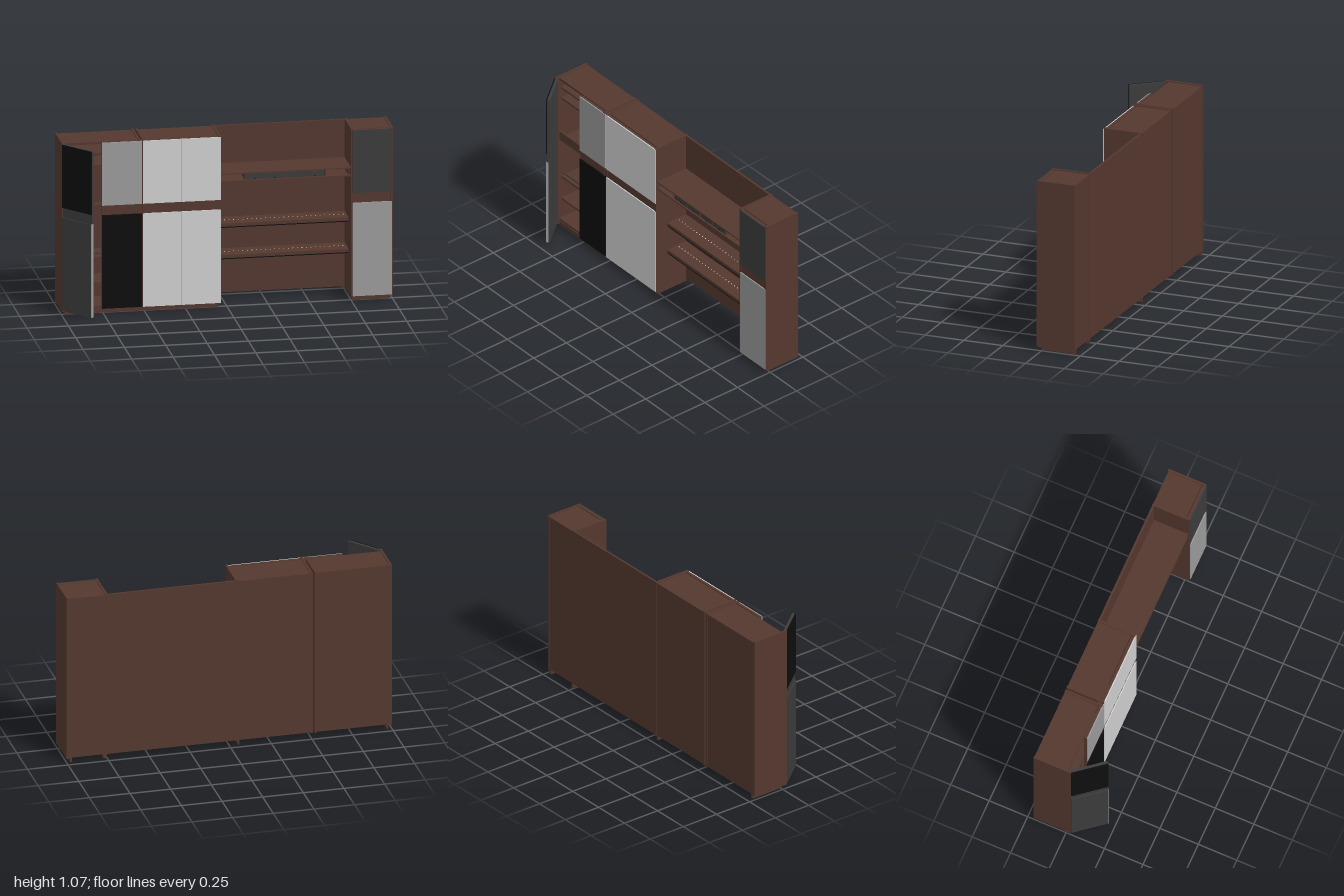
import * as THREE from 'three';

const mat = (name, color) => {
  const m = new THREE.MeshStandardMaterial({ color });
  m.name = name;
  return m;
};

export function createModel() {
  const brown = mat('brown wood', 0x54382f);
  const light = mat('light grey lacquer', 0xd0d0d0);
  const grey = mat('mid grey lacquer', 0x9b9b9b);
  const dark = mat('dark grey lacquer', 0x3c3c3c);
  const black = mat('black lacquer', 0x0e0e0e);
  const white = mat('white light', 0xf4f4f4);

  const model = new THREE.Group();
  model.name = 'wallUnit';

  // Box given by its limits on each axis
  const box = (parent, name, material, [x0, x1], [y0, y1], [z0, z1]) => {
    const m = new THREE.Mesh(new THREE.BoxGeometry(x1 - x0, y1 - y0, z1 - z0), material);
    m.name = name;
    m.position.set((x0 + x1) / 2, (y0 + y1) / 2, (z0 + z1) / 2);
    parent.add(m);
    return m;
  };
  const group = (name) => {
    const g = new THREE.Group();
    g.name = name;
    model.add(g);
    return g;
  };

  const BACK = -0.213, FRONT = 0.035, LOW = 0.023, HIGH = 1.066, T = 0.014;

  // Open carcass: two proud sides, top, bottom and back
  const carcass = (name, x0, x1) => {
    const g = group(name);
    box(g, 'sidePanel', brown, [x0, x0 + T], [LOW, HIGH], [BACK, 0.031]);
    box(g, 'sidePanel', brown, [x1 - T, x1], [LOW, HIGH], [BACK, 0.031]);
    box(g, 'topPanel', brown, [x0 + T, x1 - T], [1.045, 1.06], [BACK + 0.004, 0.005]);
    box(g, 'bottomPanel', brown, [x0 + T, x1 - T], [0.027, 0.042], [BACK + 0.004, 0.005]);
    box(g, 'backPanel', brown, [x0 + T, x1 - T], [0.027, 1.06], [BACK + 0.003, BACK + 0.013]);
    return g;
  };

  // Door: core with a coloured plate above and below the grip band
  const door = (parent, x0, x1, z, upper, lower, core = brown) => {
    box(parent, 'doorCore', core, [x0, x1], [0.031, 1.06], [z, z + 0.017]);
    box(parent, 'upperDoorPanel', upper, [x0, x1], [0.67, 1.06], [z + 0.017, z + 0.024]);
    box(parent, 'lowerDoorPanel', lower, [x0, x1], [0.031, 0.61], [z + 0.017, z + 0.024]);
  };

  // Plinth: front board and two ends, open at the back
  const plinth = (x0, x1) => {
    const g = group('plinth');
    box(g, 'plinthFront', brown, [x0, x1], [0, 0.028], [-0.004, 0.009]);
    for (const x of [x0, x1 - 0.012])
      box(g, 'plinthEnd', brown, [x, x + 0.012], [0, 0.028], [BACK, -0.004]);
  };
  plinth(-0.98, -0.052);
  plinth(0.76, 0.98);

  // Left-hand wardrobe with shelves
  const wardrobe = carcass('openCabinet', -1, -0.526);
  for (const [y, z] of [[0.975, -0.01], [0.9, -0.01], [0.61, 0], [0.33, -0.01], [0.172, -0.01]])
    box(wardrobe, 'innerShelf', brown, [-0.986, -0.54], [y, y + 0.012], [-0.2, z]);
  box(wardrobe, 'middleRail', brown, [-0.986, -0.54], [0.61, 0.67], [-0.01, 0.003]);
  for (const z of [-0.17, -0.03])
    box(wardrobe, 'trayRail', dark, [-0.986, -0.54], [0.355, 0.362], [z, z + 0.007]);
  door(wardrobe, -0.758, -0.518, 0.011, grey, black);

  // Door swung open on the outer hinge
  const openDoor = group('openDoor');
  openDoor.position.set(-0.984, 0, 0.022);
  openDoor.rotation.y = -0.893;
  door(openDoor, 0, 0.229, -0.004, black, dark, dark);
  box(openDoor, 'lowerDoorEdge', grey, [0.229, 0.232], [0.031, 0.61], [0.004, 0.02]);

  // Double-door cabinet, with a filler strip closing the gap beside it
  const pair = carcass('doubleCabinet', -0.514, -0.04);
  door(pair, -0.511, -0.2775, 0.011, light, light);
  door(pair, -0.2765, -0.041, 0.011, light, light);
  box(model, 'fillerStrip', brown, [-0.526, -0.514], [LOW, 1.06], [-0.002, 0.01]);

  // Narrow tall cabinet
  const tall = carcass('tallCabinet', 0.747, 1);
  door(tall, 0.756, 0.994, 0.011, dark, grey);

  // Back wall and shelves
  const bay = group('shelfBay');
  const span = [-0.04, 0.747];
  box(bay, 'wallPanel', brown, span, [LOW + 0.004, HIGH - 0.003], [BACK + 0.002, -0.198]);
  box(bay, 'topShelf', brown, span, [0.82, 0.828], [-0.198, 0.022]);
  box(bay, 'drawerBase', brown, span, [0.772, 0.78], [-0.198, 0.022]);
  for (const x of [0.11, 0.228, 0.35, 0.472, 0.593, 0.735])
    box(bay, 'divider', brown, [x - 0.003, x + 0.003], [0.78, 0.82], [-0.198, 0.015]);
  for (const x of [0.114, 0.232, 0.361, 0.476]) {
    box(bay, 'drawerFront', dark, [x, x + 0.111], [0.781, 0.819], [-0.002, 0.012]);
    box(bay, 'drawerKnob', black, [x + 0.052, x + 0.059], [0.785, 0.789], [0.012, 0.016]);
  }

  // Two lower shelves with a dark lower edge and a row of small lights
  for (const y of [0.28, 0.475]) {
    box(bay, 'lowerShelf', brown, span, [y, y + 0.02], [-0.198, -0.055]);
    box(bay, 'shelfEdge', black, span, [y - 0.006, y], [-0.06, -0.055]);
    for (let i = 0; i < 28; i++) {
      const x = -0.02 + i * 0.0275;
      box(bay, 'shelfLight', white, [x, x + 0.005], [y + 0.02, y + 0.022], [-0.13, -0.125]);
    }
  }
  return model;
}
